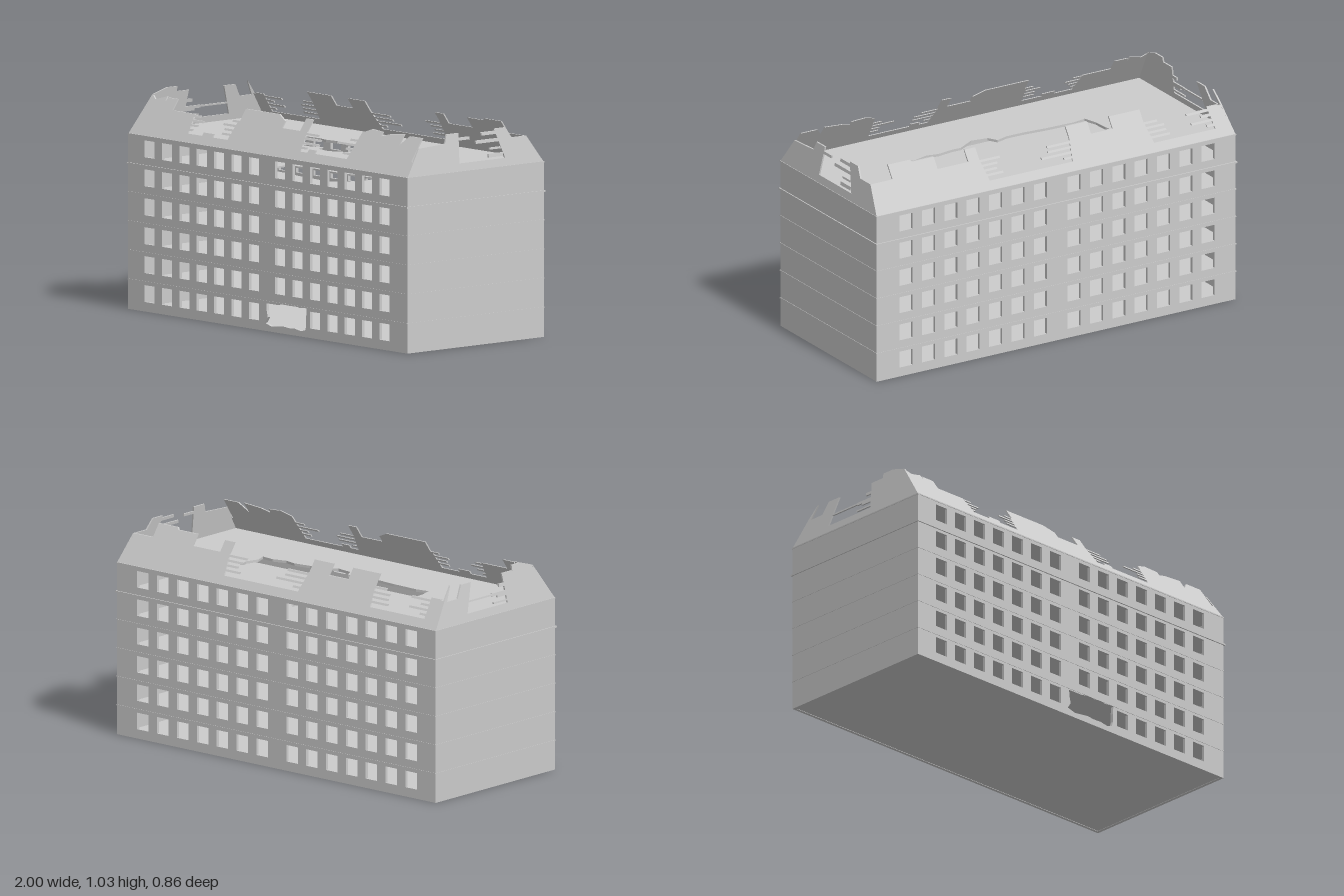
import * as THREE from 'three';

const HX = 0.995, HZ = 0.425, EAVE = 0.83, WALL = 0.015;
const material = new THREE.MeshStandardMaterial({ color: 0xcccccc, flatShading: true });

function add(parent, name, geometry) {
  const mesh = new THREE.Mesh(geometry, material);
  mesh.name = name;
  parent.add(mesh);
  return mesh;
}

function box(parent, name, w, h, d, x, y, z) {
  const mesh = add(parent, name, new THREE.BoxGeometry(w, h, d));
  mesh.position.set(x, y, z);
  return mesh;
}

function polygon(points, Type = THREE.Shape) {
  return new Type(points.map(([x, y]) => new THREE.Vector2(x, y)));
}

const rect = (x0, y0, x1, y1) => [[x0, y0], [x1, y0], [x1, y1], [x0, y1]];

function seeded(seed) {
  return () => (seed = (seed * 16807) % 2147483647) / 2147483647;
}

// Ragged outline: small alternating offsets along each edge of a polygon
function ragged(points, step, amount, seed) {
  const rnd = seeded(seed), out = [];
  points.forEach((p, i) => {
    const q = points[(i + 1) % points.length];
    const n = Math.max(1, Math.round(Math.hypot(q[0] - p[0], q[1] - p[1]) / step));
    for (let k = 0; k < n; k++) {
      out.push([
        p[0] + (q[0] - p[0]) * k / n + (rnd() - 0.5) * amount,
        p[1] + (q[1] - p[1]) * k / n + (rnd() - 0.5) * amount,
      ]);
    }
  });
  return out;
}

// Horizontal slab with an optional broken hole, given in x and z
function slab(parent, name, hx, hz, y, thick, hole) {
  const shape = polygon(rect(-hx, -hz, hx, hz));
  if (hole) shape.holes.push(polygon(hole, THREE.Path));
  const geometry = new THREE.ExtrudeGeometry(shape, { depth: thick, bevelEnabled: false });
  geometry.rotateX(Math.PI / 2); // shape y becomes z
  add(parent, name, geometry).position.y = y + thick;
}

// Long wall with six rows of fourteen windows, and a blast hole if given
function windowWall(parent, name, z, blast) {
  const shape = polygon(rect(-HX, 0, HX, EAVE));
  for (let row = 0; row < 6; row++) {
    const y = 0.045 + row * 0.1372;
    for (let i = 0; i < 7; i++) {
      for (const x of [-0.842 + i * 0.1238, 0.088 + i * 0.124]) {
        if (blast && row === 0 && x > 0 && x < 0.25) continue;
        shape.holes.push(polygon(rect(x - 0.036, y, x + 0.036, y + 0.08), THREE.Path));
      }
    }
  }
  if (blast) shape.holes.push(polygon(blast, THREE.Path));
  const geometry = new THREE.ExtrudeGeometry(shape, { depth: WALL, bevelEnabled: false });
  add(parent, name, geometry).position.z = z;
}

// Broken lath ends sticking out sideways from the edges of a gap
function laths(a, b, seed) {
  const rnd = seeded(seed), list = [];
  for (let y = 0.882; y < 0.96; y += 0.02) {
    const reach = (b - a) * 0.36;
    list.push(rect(a - 0.03, y, a + reach * (0.25 + 0.75 * rnd()), y + 0.009));
    list.push(rect(b - reach * (0.25 + 0.75 * rnd()), y + 0.006, b + 0.03, y + 0.015));
  }
  return list;
}

// Leaning roof panel: a skyline above the eaves plus loose lath pieces
function roofPanel(parent, name, { half, skyline, pieces, lean, flip, angle, out }) {
  const sign = flip ? -1 : 1;
  const outlines = [[[-half, EAVE], ...skyline, [half, EAVE]], ...pieces];
  const shapes = outlines.map(o => polygon(o.map(([u, y]) => [u * sign, y])));
  const geometry = new THREE.ExtrudeGeometry(shapes, { depth: 0.008, bevelEnabled: false });
  const p = geometry.attributes.position;
  for (let i = 0; i < p.count; i++) {
    p.setZ(i, p.getZ(i) - 0.008 + out - (p.getY(i) - EAVE) * lean);
  }
  geometry.computeVertexNormals();
  add(parent, name, geometry).rotation.y = angle;
}

export function createModel() {
  const model = new THREE.Group();
  model.name = 'ruinedBuilding';

  // Outer walls
  const blast = ragged([[-0.01, 0.03], [0.27, 0.03], [0.27, 0.135], [-0.005, 0.135]], 0.04, 0.018, 7);
  windowWall(model, 'frontWall', HZ - WALL, blast);
  windowWall(model, 'backWall', -HZ);
  for (const s of [-1, 1]) {
    box(model, 'endWall', WALL, EAVE, 2 * (HZ - WALL), s * (HX - WALL / 2), EAVE / 2, 0);
  }

  // Storey floors, whose edges show outside as thin ledges
  slab(model, 'groundFloor', HX - 0.015, HZ - 0.015, 0.002, 0.006);
  for (let i = 1; i < 5; i++) slab(model, 'floor', HX + 0.002, HZ + 0.002, i * 0.138, 0.006);
  const atticHole = ragged([[-0.42, -0.08], [0.19, -0.1], [0.19, 0.06], [0.1, 0.15], [-0.42, 0.08]], 0.08, 0.02, 5);
  slab(model, 'upperFloor', HX + 0.005, HZ + 0.006, 0.687, 0.008, atticHole);
  const roofHole = ragged([[-0.52, -0.1], [0.52, -0.1], [0.52, 0.09], [0.19, 0.09],
    [0.1, 0.14], [0.03, 0.14], [0, 0.1], [-0.5, 0.09]], 0.07, 0.025, 11);
  slab(model, 'roofFloor', HX - 0.01, HZ - 0.012, 0.828, 0.012, roofHole);

  // Eaves ledge
  for (const s of [-1, 1]) {
    box(model, 'eavesLedge', 2 * HX + 0.004, 0.006, 0.012, 0, EAVE, s * (HZ - 0.004));
    box(model, 'endEavesLedge', 0.012, 0.006, 2 * HZ, s * (HX - 0.004), EAVE, 0);
  }

  // Leaning roof remains on the long sides
  const longSide = { half: HX, lean: 0.7, out: HZ };
  roofPanel(model, 'frontRoof', {
    ...longSide, angle: 0, flip: false,
    skyline: [[-0.988, 0.87], [-0.972, 0.95], [-0.965, 1.01], [-0.93, 0.99], [-0.86, 1.01], [-0.855, 0.985],
      [-0.85, 1.005], [-0.78, 1.005], [-0.78, 0.955], [-0.62, 0.955], [-0.6, 0.87], [-0.5, 0.87],
      [-0.5, 0.885], [-0.43, 0.885], [-0.43, 0.87], [-0.32, 0.87], [-0.31, 0.955], [-0.3, 0.955],
      [-0.3, 1.01], [-0.06, 1.01], [0, 0.985], [0, 0.955], [0.13, 0.955], [0.13, 1.01], [0.18, 1.01],
      [0.18, 0.955], [0.2, 0.87], [0.25, 0.87], [0.25, 0.885], [0.3, 0.885], [0.3, 0.87], [0.53, 0.87],
      [0.545, 0.99], [0.6, 1.01], [0.68, 1.005], [0.68, 0.985], [0.73, 1], [0.83, 1.01], [0.83, 0.96],
      [0.87, 1.005], [0.96, 1.005], [0.965, 0.9], [0.982, 0.9], [0.988, 0.87]],
    pieces: [...laths(-0.61, -0.32, 3), ...laths(0.2, 0.53, 9)],
  });
  roofPanel(model, 'backRoof', {
    ...longSide, angle: Math.PI, flip: true,
    skyline: [[-0.988, 0.87], [-0.972, 0.955], [-0.95, 0.955], [-0.95, 0.96], [-0.89, 0.96], [-0.9, 0.87],
      [-0.56, 0.87], [-0.54, 0.96], [-0.54, 1.01], [-0.37, 1.01], [-0.37, 0.96], [-0.25, 0.96],
      [-0.25, 1.01], [-0.13, 1.01], [-0.13, 0.96], [-0.11, 0.87], [0.35, 0.87], [0.37, 0.96],
      [0.37, 1.01], [0.43, 1.01], [0.43, 0.96], [0.6, 0.96], [0.6, 1.01], [0.72, 1.01], [0.73, 1.02],
      [0.85, 1.02], [0.85, 0.96], [0.972, 0.96], [0.988, 0.87]],
    pieces: [...laths(-0.89, -0.56, 21), ...laths(-0.11, 0.35, 33)],
  });

  // Gable remains at the two ends, laid out along z
  const endSide = { half: HZ, lean: 0.17, out: HX };
  roofPanel(model, 'leftGable', {
    ...endSide, angle: Math.PI / 2, flip: true,
    skyline: [[-0.397, 0.87], [-0.335, 0.96], [-0.245, 0.96], [-0.21, 1.01], [-0.14, 1.01], [-0.19, 0.87],
      [0.095, 0.87], [0.08, 1.01], [0.155, 1.01], [0.17, 0.968], [0.335, 0.96], [0.397, 0.87]],
    pieces: [rect(-0.15, 0.985, -0.06, 1), rect(-0.16, 0.95, -0.02, 0.965), rect(-0.17, 0.916, -0.1, 0.925),
      rect(-0.18, 0.88, -0.09, 0.897), rect(0.015, 0.975, 0.09, 0.988)],
  });
  roofPanel(model, 'rightGable', {
    ...endSide, angle: -Math.PI / 2, flip: false,
    skyline: [[-0.397, 0.87], [-0.335, 0.96], [-0.285, 1.02], [-0.32, 0.95], [-0.245, 0.95], [-0.21, 1.01],
      [-0.14, 1.01], [-0.19, 0.87], [0.095, 0.87], [0.08, 1.01], [0.155, 1.01], [0.155, 1.035],
      [0.22, 1.035], [0.3, 1.01], [0.397, 0.87]],
    pieces: [rect(0.05, 0.95, 0.09, 0.965), rect(-0.005, 0.916, 0.1, 0.93), rect(0.03, 0.906, 0.1, 0.916),
      rect(0, 0.88, 0.1, 0.888), rect(-0.17, 0.92, 0, 0.928)],
  });

  return model;
}
